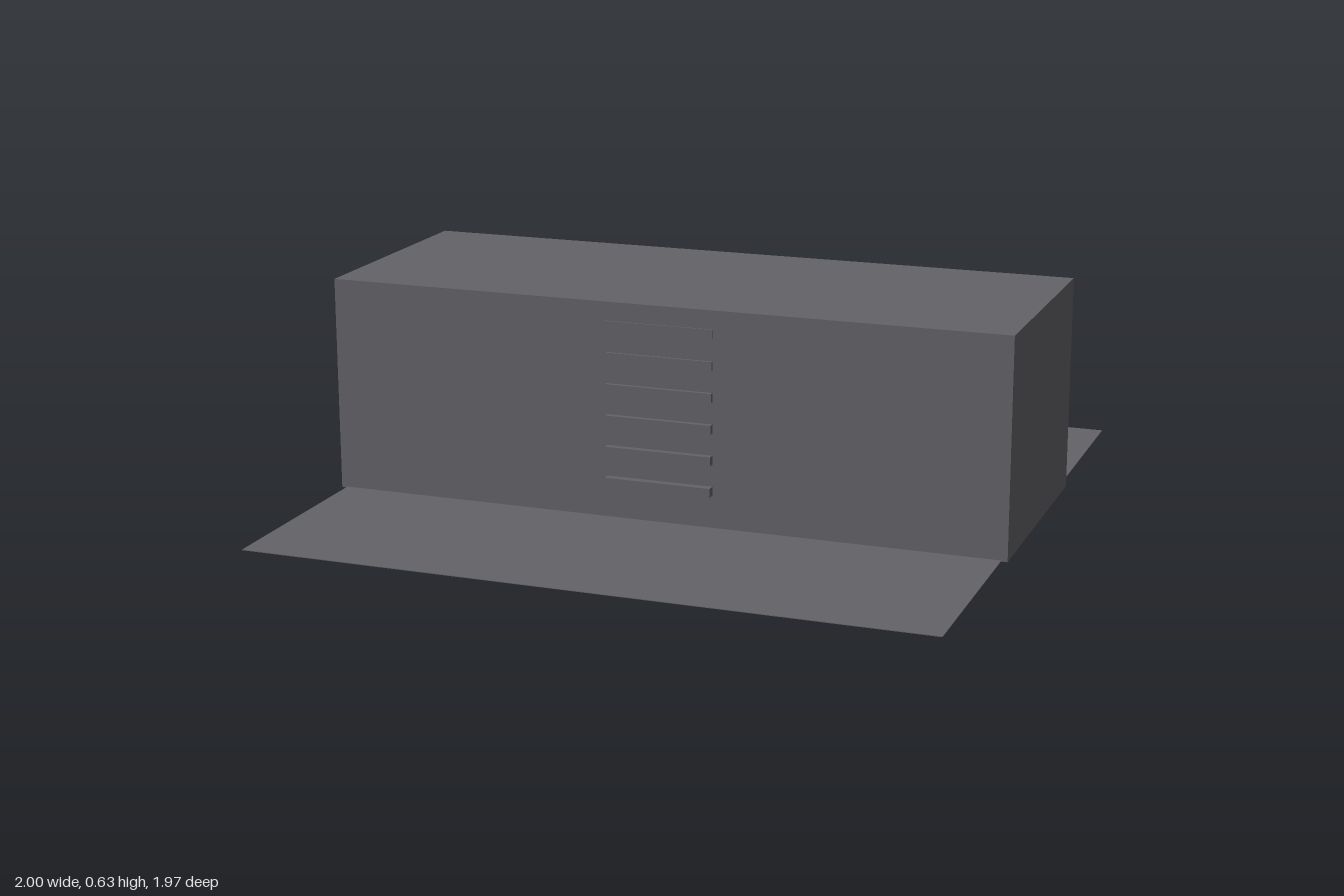
import * as THREE from 'three';

export function createModel() {
  const model = new THREE.Group();
  const material = (name, color) => {
    const m = new THREE.MeshStandardMaterial({ color });
    m.name = name;
    return m;
  };
  const grey = material('concrete grey', 0x646368);
  const purple = material('floor purple', 0x562e92);
  const green = material('line green', 0x46c84e);
  const red = material('marker red', 0xe0204a);

  // Box given by its extents along each axis
  const block = (name, mat, [x0, x1], [y0, y1], [z0, z1], parent = model) => {
    const mesh = new THREE.Mesh(new THREE.BoxGeometry(x1 - x0, y1 - y0, z1 - z0), mat);
    mesh.position.set((x0 + x1) / 2, (y0 + y1) / 2, (z0 + z1) / 2);
    mesh.name = name;
    parent.add(mesh);
    return mesh;
  };

  // Main hall and the thin ground slab it stands on
  block('hall', grey, [-1, 1], [0.003, 0.63], [-0.368, 0.368]);
  block('groundSlab', grey, [-0.983, 0.983], [0.004, 0.006], [-0.983, 0.983]);

  // Ladder of front slats, each lower one standing out further
  const slats = new THREE.Group();
  slats.name = 'frontSlats';
  model.add(slats);
  for (let i = 0; i < 6; i++) {
    const y = 0.113 + i * 0.09;
    const reach = 0.022 - i * 0.0036;
    block('slat', grey, [-0.157, 0.157], [y - 0.013, y + 0.013], [0.36, 0.368 + reach], slats);
  }

  // Coloured floor patch under one end of the hall
  const underside = new THREE.Group();
  underside.name = 'undersideMarkings';
  model.add(underside);
  block('floorPatch', purple, [-1, -0.39], [0.0015, 0.003], [-0.367, -0.06], underside);
  const lines = [
    [-0.4, -0.367, 0.36],
    [-0.66, -0.367, -0.06],
    [-0.97, -0.367, -0.06],
  ];
  for (const [x, z0, z1] of lines)
    block('floorLine', green, [x - 0.012, x + 0.012], [0.0005, 0.003], [z0, z1], underside);

  // Small red markers
  for (const [x, z] of [[-0.68, -0.2], [-0.72, -0.22], [-0.89, -0.35]])
    block('floorMarker', red, [x - 0.012, x + 0.012], [0, 0.003], [z - 0.01, z + 0.01], underside);

  return model;
}
